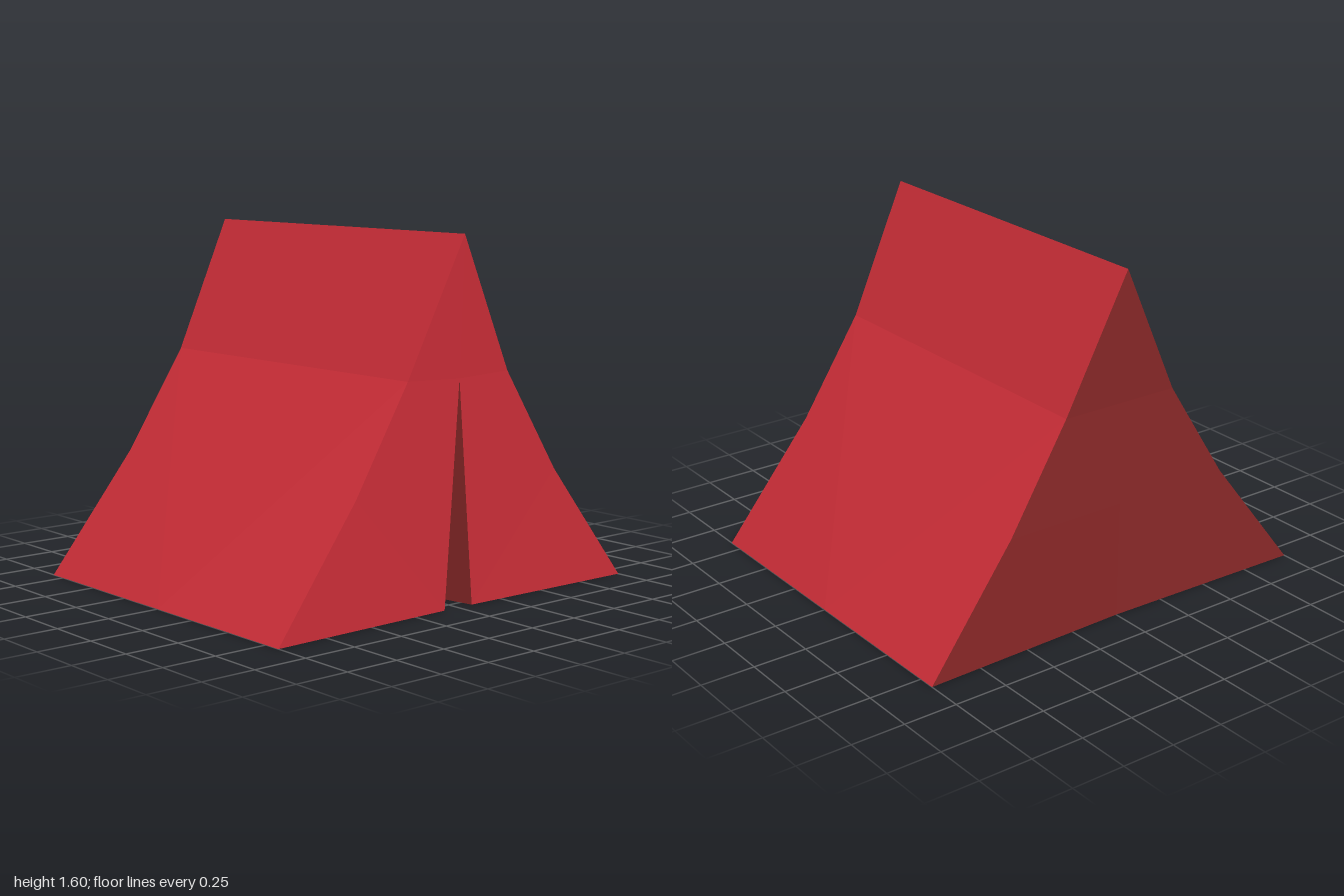
import * as THREE from 'three';

// The same panels on the other side of x = 0, keeping each first corner first
function mirror(panels) {
  return panels.map(([first, ...rest]) => [first, ...rest.reverse()].map(([x, y, z]) => [-x, y, z]));
}

// Each panel is fanned from its first corner and shaded with one average normal
function addPart(group, name, panels, material) {
  const positions = [];
  const normals = [];
  for (const panel of panels) {
    const [origin, ...ring] = panel.map(p => new THREE.Vector3(...p));
    const normal = new THREE.Vector3();
    for (let i = 1; i < ring.length; i++) {
      const a = ring[i - 1].clone().sub(origin);
      const b = ring[i].clone().sub(origin);
      normal.add(a.cross(b));
      positions.push(...origin, ...ring[i - 1], ...ring[i]);
    }
    normal.normalize();
    for (let i = 0; i < (ring.length - 1) * 3; i++) normals.push(...normal);
  }
  const geometry = new THREE.BufferGeometry();
  geometry.setAttribute('position', new THREE.Float32BufferAttribute(positions, 3));
  geometry.setAttribute('normal', new THREE.Float32BufferAttribute(normals, 3));
  const mesh = new THREE.Mesh(geometry, material);
  mesh.name = name;
  group.add(mesh);
}

export function createModel() {
  const tent = new THREE.Group();
  tent.name = 'tent';
  const red = new THREE.MeshStandardMaterial({ color: 0xcc2e38 });
  red.name = 'red canvas';
  const dark = new THREE.MeshStandardMaterial({ color: 0x8a2828 });
  dark.name = 'dark red canvas';

  // Sagging end profile from the ground corner up to the ridge
  const front = [[1, 0, 0.83], [0.58, 0.54, 0.81], [0.29, 1, 0.8], [0, 1.6, 0.83]];
  const back = front.map(([x, y, z]) => [x, y, -z]);
  const sideFoot = [1, 0, 0];

  // Door slit: top, lower edge and the inner end on the floor
  const slitTop = [0, 0.99, 0.805];
  const slitFoot = [0.08, 0, 0.81];
  const slitInner = [0, 0, 0.37];

  // Centre line of the back wall
  const backFoot = [0, 0, -0.805];
  const backMiddle = [0, 0.54, -0.81];
  const backUpper = [0, 1, -0.8];

  // Slopes: steep strip by the ridge, wider panels below
  const slope = [
    [front[2], back[2], back[3], front[3]],
    [sideFoot, back[0], back[1], back[2]],
    [sideFoot, back[2], front[2]],
    [sideFoot, front[2], front[1], front[0]],
  ];
  addPart(tent, 'leftSlope', slope, red);
  addPart(tent, 'rightSlope', mirror(slope), red);

  // End walls, slit walls and floor, each from a mirrored half
  const frontWall = [
    [slitTop, front[2], front[3]],
    [slitTop, slitFoot, front[1], front[2]],
    [slitFoot, front[0], front[1]],
  ];
  const backWall = [
    [backUpper, back[3], back[2]],
    [backUpper, back[2], back[1], backMiddle],
    [back[1], back[0], backFoot, backMiddle],
  ];
  const doorSlit = [[slitInner, slitFoot, slitTop]];
  const floor = [[slitInner, backFoot, back[0], front[0], slitFoot]];

  addPart(tent, 'frontWall', [...frontWall, ...mirror(frontWall)], red);
  addPart(tent, 'backWall', [...backWall, ...mirror(backWall)], dark);
  addPart(tent, 'doorSlit', [...doorSlit, ...mirror(doorSlit)], dark);
  addPart(tent, 'floor', [...floor, ...mirror(floor)], dark);
  return tent;
}
